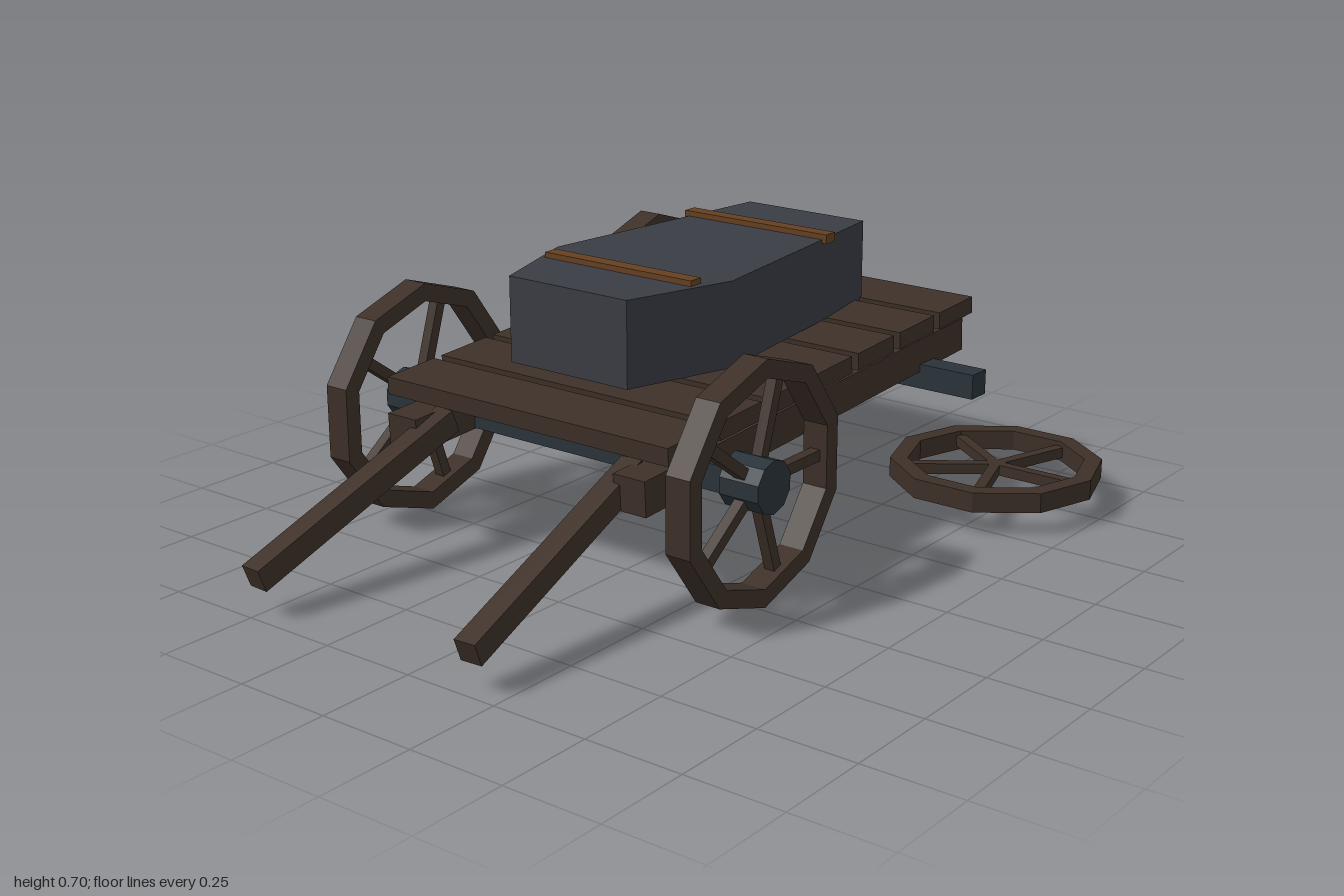
import * as THREE from 'three';

const mat = (color) => new THREE.MeshStandardMaterial({ color, flatShading: true });
const wood = mat(0x3d3028), iron = mat(0x2a333a), slate = mat(0x3a3c44), leather = mat(0x654020);

const CX = -0.16;           // centre line of the wagon
const TILT = 0.05;          // bed rises towards the back
const FRONT_Z = 0.235, REAR_Z = -0.716, AXLE_Y = 0.302;

function add(parent, name, geometry, material, x = 0, y = 0, z = 0) {
  const mesh = new THREE.Mesh(geometry, material);
  mesh.name = name;
  mesh.position.set(x, y, z);
  parent.add(mesh);
  return mesh;
}

const box = (w, h, d) => new THREE.BoxGeometry(w, h, d);

function polygon(Type, radius, sides, turn) {
  const pts = [];
  for (let i = 0; i < sides; i++) {
    const a = (i / sides) * Math.PI * 2 + turn;
    pts.push(new THREE.Vector2(Math.cos(a) * radius, Math.sin(a) * radius));
  }
  return new Type(pts);
}

// Ten-sided rim with five spokes, lying in the XY plane
function makeWheel(name, radius, width, turn) {
  const wheel = new THREE.Group();
  wheel.name = name;
  const inner = radius - 0.046;
  const shape = polygon(THREE.Shape, radius, 10, turn);
  shape.holes.push(polygon(THREE.Path, inner, 10, turn));
  const rim = new THREE.ExtrudeGeometry(shape, { depth: width, bevelEnabled: false });
  rim.translate(0, 0, -width / 2);
  add(wheel, 'rim', rim, wood);
  for (let i = 0; i < 5; i++) {
    const geo = box(inner, 0.028, 0.028);
    geo.translate(inner / 2, 0, 0);
    add(wheel, 'spoke', geo, wood).rotation.z = (i / 5) * Math.PI * 2;
  }
  return wheel;
}

export function createModel() {
  const model = new THREE.Group();
  model.name = 'brokenWagon';

  // Mounted wheels with hubs; the rear left one is missing
  for (const [side, z, name] of [[-1, FRONT_Z, 'frontRightWheel'], [1, FRONT_Z, 'frontLeftWheel'], [-1, REAR_Z, 'rearRightWheel']]) {
    const wheel = makeWheel(name, 0.302, 0.067, Math.PI / 10);
    wheel.position.set(CX + side * 0.529, AXLE_Y, z);
    wheel.rotation.y = Math.PI / 2;
    const hub = new THREE.CylinderGeometry(0.066, 0.066, 0.11, 10);
    hub.rotateX(Math.PI / 2);
    add(wheel, 'hub', hub, iron);
    model.add(wheel);
  }

  // Fallen wheel lying beside the bare axle end
  const fallen = makeWheel('fallenWheel', 0.276, 0.052, 0);
  fallen.position.set(0.46, 0.086, -0.716);
  fallen.rotation.x = -Math.PI / 2;
  model.add(fallen);

  // Axles
  add(model, 'frontAxle', box(1.06, 0.066, 0.066), iron, CX, AXLE_Y, FRONT_Z);
  add(model, 'rearAxle', box(1.09, 0.066, 0.066), iron, CX + 0.015, AXLE_Y, REAR_Z);

  // Side rails and pull shafts, mirrored about the centre line
  for (const s of [-1, 1]) {
    add(model, 'sideRail', box(0.092, 0.088, 1.37), wood, CX + s * 0.354, 0.335, -0.21).rotation.x = TILT;
    const start = new THREE.Vector3(CX + s * 0.293, 0.327, 0.38);
    const end = new THREE.Vector3(CX + s * 0.331, 0.096, 0.99);
    const shaft = add(model, 'pullShaft', box(0.057, 0.06, start.distanceTo(end)), wood);
    shaft.position.copy(start).lerp(end, 0.5);
    shaft.lookAt(end);
  }

  // Bed planks
  for (let i = 0; i < 7; i++) {
    const z = -0.796 + i * 0.1918;
    add(model, 'plank', box(0.872, 0.045, 0.164), wood, CX, 0.419 - z * 0.047, z).rotation.x = TILT;
  }

  // Six-sided chest with two straps
  const outline = [[-0.18, 0.268], [0.183, 0.268], [0.274, -0.02], [0.185, -0.724], [-0.185, -0.724], [-0.274, -0.02]];
  const chest = new THREE.ExtrudeGeometry(
    new THREE.Shape(outline.map(([x, z]) => new THREE.Vector2(x, -z))),
    { depth: 0.217, bevelEnabled: false });
  chest.rotateX(-Math.PI / 2);
  add(model, 'chest', chest, slate, CX, 0.465, 0);
  for (const z of [-0.507, 0.062]) add(model, 'strap', box(0.455, 0.024, 0.04), leather, CX, 0.684, z);

  return model;
}
